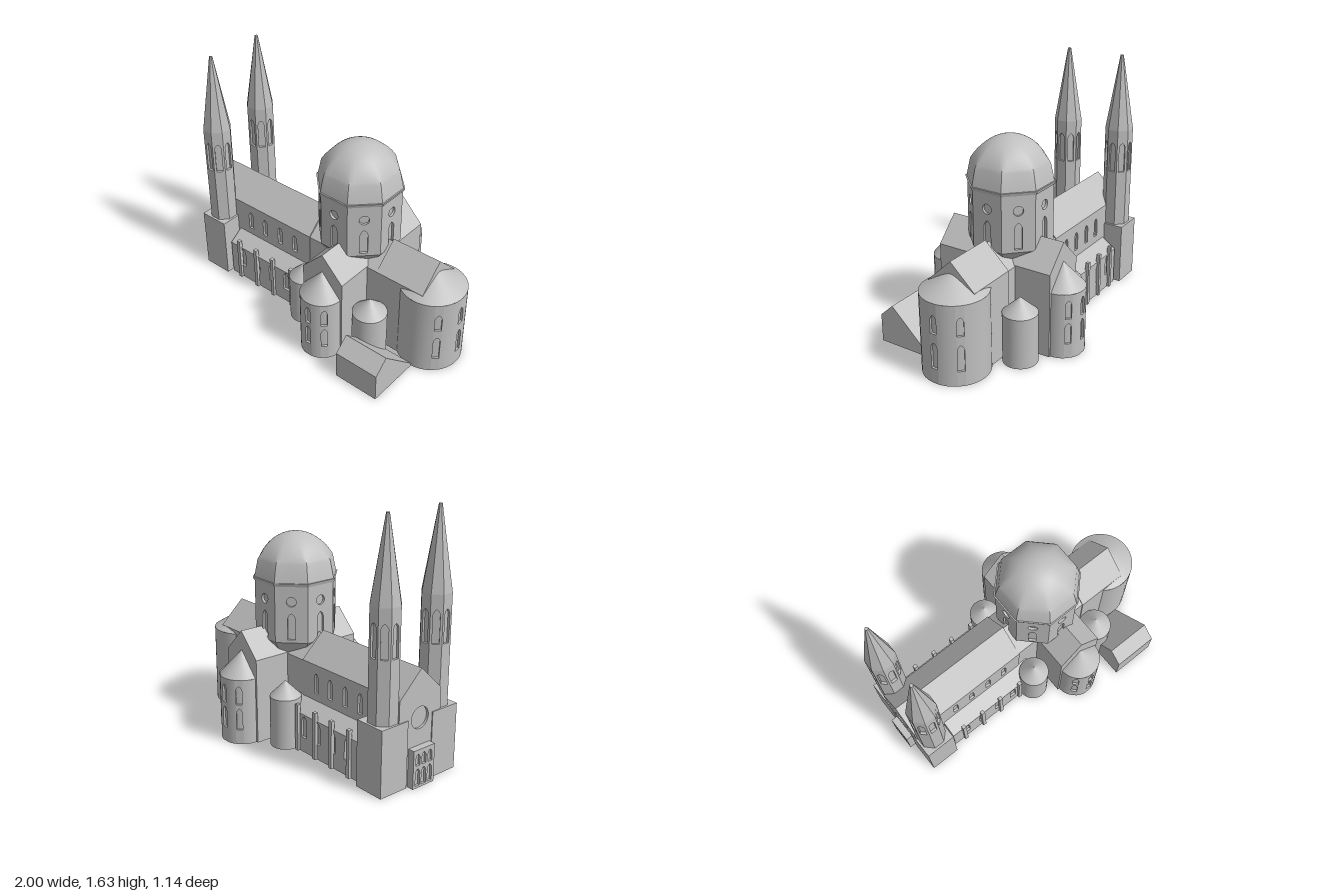
import * as THREE from 'three';
import { toCreasedNormals } from 'three/addons/utils/BufferGeometryUtils.js';

const PI = Math.PI;
const OCT = Math.cos(PI / 8); // apothem / circumradius of an octagon
const DEPTH = 0.016; // window recess

export function createModel() {
  const model = new THREE.Group();
  model.name = 'cathedral';
  const church = new THREE.Group();
  church.name = 'church';
  church.position.z = -0.011;
  model.add(church);
  const stone = new THREE.MeshStandardMaterial({ color: 0xc0c0c0 });
  stone.name = 'stone';

  function add(name, geo, x = 0, y = 0, z = 0, ry = 0, parent = church) {
    const mesh = new THREE.Mesh(toCreasedNormals(geo, 0.55), stone);
    mesh.name = name;
    mesh.position.set(x, y, z);
    mesh.rotation.y = ry;
    parent.add(mesh);
    return mesh;
  }
  const poly = (pts) => new THREE.Shape(pts.map((p) => new THREE.Vector2(...p)));
  const box = (name, x0, x1, y0, y1, z0, z1) =>
    add(name, new THREE.BoxGeometry(x1 - x0, y1 - y0, z1 - z0), (x0 + x1) / 2, (y0 + y1) / 2, (z0 + z1) / 2);

  // Window outlines
  const arch = (x, y0, y1, w) => poly([
    [x - w / 2, y0], [x + w / 2, y0], [x + w / 2, y1 - 0.7 * w], [x + w * 0.3, y1 - 0.25 * w],
    [x, y1], [x - w * 0.3, y1 - 0.25 * w], [x - w / 2, y1 - 0.7 * w]]);
  const round = (x, y, r) => new THREE.Shape().absarc(x, y, r, 0, 2 * PI, false);

  // Upright slab with openings, outer face at z = 0
  function panel(w, y0, y1, holes) {
    const s = poly([[-w / 2, y0], [w / 2, y0], [w / 2, y1], [-w / 2, y1]]);
    s.holes.push(...holes);
    return new THREE.ExtrudeGeometry(s, { depth: DEPTH, bevelEnabled: false, curveSegments: 10 })
      .translate(0, 0, -DEPTH);
  }
  // (z, y) profile drawn out along x
  function alongX(name, pts, x0, x1) {
    const g = new THREE.ExtrudeGeometry(poly(pts), { depth: x1 - x0, bevelEnabled: false });
    return add(name, g.rotateY(-PI / 2), x1, 0, 0);
  }
  const gable = (h, y0, eave, ridge) => [[-h, y0], [h, y0], [h, eave], [0, ridge], [-h, eave]];
  const octagon = (top, bottom, h) =>
    new THREE.CylinderGeometry(top / OCT, bottom / OCT, h, 8).rotateY(PI / 8);

  // Eight-sided storey with the same openings in every face
  function octagonStorey(name, x, z, a, y0, y1, holes) {
    const g = new THREE.Group();
    g.name = name;
    g.position.set(x, 0, z);
    church.add(g);
    const w = 2 * a * Math.tan(PI / 8);
    for (let i = 0; i < 8; i++) {
      const t = i * PI / 4;
      add('wall', panel(w, y0, y1, holes()), a * Math.sin(t), 0, a * Math.cos(t), t, g);
    }
    add('core', octagon(a - DEPTH, a - DEPTH, y1 - y0), 0, (y0 + y1) / 2, 0, 0, g);
  }

  // Round tower with a cone roof and window strips at the given angles
  function roundTower(name, x, z, r, h, apex, angles = [], holes = () => []) {
    const g = new THREE.Group();
    g.name = name;
    g.position.set(x, 0, z);
    church.add(g);
    add('roof', new THREE.ConeGeometry(r, apex - h, 48), 0, (apex + h) / 2, 0, 0, g);
    if (!angles.length) {
      add('wall', new THREE.CylinderGeometry(r, r, h, 48), 0, h / 2, 0, 0, g);
      return;
    }
    const strip = 0.05, half = Math.asin(strip / 2 / r), d = r * Math.cos(half);
    angles.forEach((t, i) => {
      const next = i + 1 < angles.length ? angles[i + 1] : angles[0] + 2 * PI;
      const span = next - t - 2 * half;
      add('window strip', panel(strip, 0, h, holes()), d * Math.sin(t), 0, d * Math.cos(t), t, g);
      add('wall', new THREE.CylinderGeometry(r, r, h, Math.ceil(span * 8), 1, true, t + half, span), 0, h / 2, 0, 0, g);
    });
    add('core', new THREE.CylinderGeometry(d - DEPTH + 0.002, d - DEPTH + 0.002, h, 48), 0, h / 2, 0, 0, g);
    add('floor', new THREE.CylinderGeometry(d, d, 0.01, 48), 0, 0.005, 0, 0, g);
  }

  // Nave, crossing and choir
  alongX('nave core', gable(0.154, 0, 0.56, 0.7), -0.939, -0.085);
  alongX('nave roof', gable(0.17, 0.55, 0.565, 0.727), -0.955, -0.085);
  alongX('crossing', gable(0.165, 0, 0.56, 0.705), -0.09, 0.48);
  alongX('choir', gable(0.17, 0, 0.565, 0.727), 0.47, 0.82);
  add('west wall', panel(0.34, 0, 0.56, [round(0, 0.42, 0.07)]), -0.955, 0, 0, -PI / 2);

  // West porch with two rows of arches
  const porchHoles = [-0.05, 0, 0.05].flatMap((x) => [arch(x, 0.015, 0.125, 0.036), arch(x, 0.145, 0.22, 0.034)]);
  add('porch front', panel(0.174, 0, 0.246, porchHoles), -1, 0, 0, -PI / 2);
  box('porch', -1 + DEPTH, -0.94, 0, 0.246, -0.087, 0.087);

  const bays = [-0.626, -0.492, -0.353, -0.22];
  for (const s of [1, -1]) {
    const ry = s > 0 ? 0 : PI;
    // Clerestory
    add('clerestory wall', panel(0.864, 0, 0.56, bays.map((x) => arch(s * (x + 0.517), 0.375, 0.508, 0.038))),
      -0.517, 0, s * 0.17, ry);

    // Side aisle with lean-to roof and buttresses
    alongX('aisle core', [[s * 0.15, 0], [s * 0.253, 0], [s * 0.253, 0.255], [s * 0.15, 0.32]], -0.738, -0.02);
    alongX('aisle roof', [[s * 0.15, 0.252], [s * 0.27, 0.252], [s * 0.27, 0.257], [s * 0.15, 0.34]], -0.738, -0.02);
    add('aisle wall', panel(0.718, 0, 0.254, bays.map((x) => arch(s * (x + 0.379), 0.1, 0.245, 0.048))),
      -0.379, 0, s * 0.269, ry);
    for (const x of [-0.65, -0.49, -0.335, -0.165]) {
      const z = [s * 0.262, s * 0.287].sort((a, b) => a - b);
      box('buttress', x - 0.013, x + 0.013, 0, 0.315, ...z);
    }

    // West tower: square base, octagonal belfry, spire
    box('tower base', -0.961, -0.755, 0, 0.428, s * 0.205 - 0.104, s * 0.205 + 0.104);
    octagonStorey('belfry', -0.858, s * 0.205, 0.088, 0.42, 1.125, () => [arch(0, 0.825, 1.035, 0.042)]);
    add('spire', octagon(0.01, 0.088, 0.51), -0.858, 1.38, s * 0.205);

    // Transept apse and corner turrets
    roundTower('transept apse', 0.235, s * 0.415, 0.144, 0.442, 0.6,
      [-PI / 4, 0, PI / 4].map((t) => t + ry),
      () => [arch(0, 0.1, 0.245, 0.04), arch(0, 0.275, 0.4, 0.04)]);
    roundTower('west turret', -0.04, s * 0.275, 0.101, 0.336, 0.438);
    roundTower('east turret', 0.508, s * 0.278, 0.112, 0.336, 0.438);
  }

  // Transept
  add('transept', new THREE.ExtrudeGeometry(poly(gable(0.158, 0, 0.567, 0.727)), { depth: 0.83, bevelEnabled: false }),
    0.235, 0, -0.415);

  // Main apse
  roundTower('main apse', 0.786, 0, 0.214, 0.537, 0.667, [PI / 4, PI / 2, PI * 0.75],
    () => [arch(0, 0.1, 0.275, 0.044), arch(0, 0.335, 0.458, 0.044)]);

  // Drum with flared foot and cornice
  add('drum foot', octagon(0.253, 0.19, 0.09), 0.194, 0.605, 0);
  octagonStorey('drum', 0.194, 0, 0.253, 0.65, 1.035, () => [arch(0, 0.67, 0.845, 0.05), round(0, 0.922, 0.032)]);
  add('cornice', octagon(0.265, 0.258, 0.022), 0.194, 1.034, 0);

  // Dome: eight flat sides at the springing, easing into a round cap
  const profile = [0, 0.43, 0.5, 0.6, 0.7, 0.8, 0.9, 1, 1.1, 1.2, 1.3, 1.4, 1.5, PI / 2].map(
    (t) => new THREE.Vector2(0.257 * Math.cos(t), 1.04 + 0.285 * Math.sin(t)));
  profile[profile.length - 1].x = 0;
  const dome = new THREE.LatheGeometry(profile, 64);
  const p = dome.attributes.position;
  for (let i = 0; i < p.count; i++) {
    const angle = Math.atan2(p.getX(i), p.getZ(i)) + 2 * PI + PI / 8;
    const sharp = 1 / Math.cos((angle % (PI / 4)) - PI / 8);
    const k = THREE.MathUtils.clamp((1.29 - p.getY(i)) / 0.13, 0, 1);
    const f = 1 + (sharp - 1) * k;
    p.setXYZ(i, p.getX(i) * f, p.getY(i), p.getZ(i) * f);
  }
  add('dome', dome, 0.194, 0, 0);

  // Annex with a long roof falling to the ground
  alongX('annex', [[0.216, 0], [0.584, 0], [0.584, 0.19], [0.489, 0.277], [0.216, 0.02]], 0.49, 0.8);

  return model;
}
